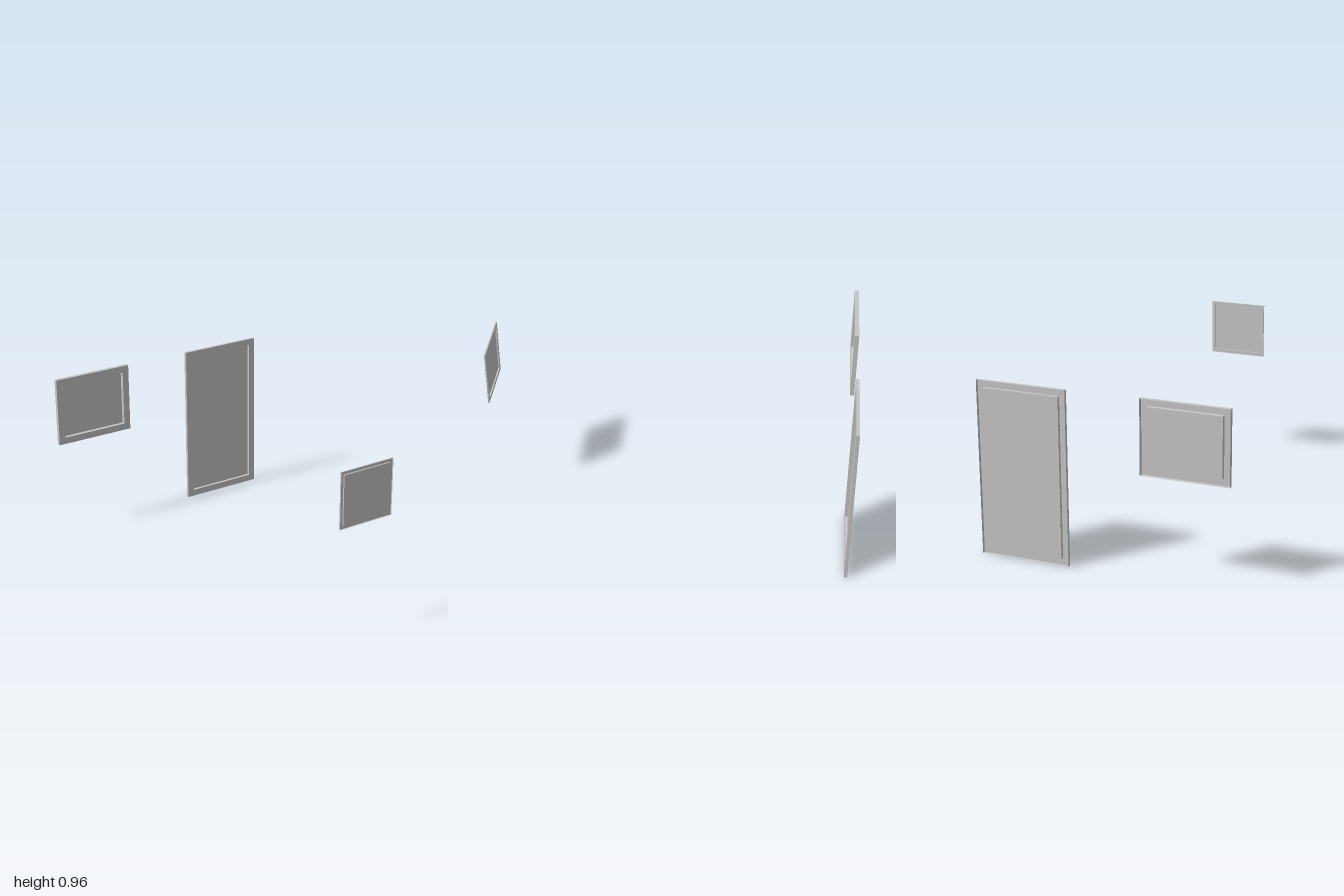
import * as THREE from 'three';

const grey = new THREE.MeshStandardMaterial({ color: 0xc6c6c6, side: THREE.DoubleSide });
grey.name = 'lightGrey';

// Corners of a rectangle, counter-clockwise, at depth z
const ring = (w, h, z) => [[-1, -1], [1, -1], [1, 1], [-1, 1]].map(([a, b]) => [a * w / 2, b * h / 2, z]);

// Bands of flat quads joining consecutive rings
function bands(rings) {
  const pos = [];
  for (let r = 0; r < rings.length - 1; r++) {
    for (let i = 0; i < 4; i++) {
      const j = (i + 1) % 4;
      const a = rings[r][i], b = rings[r][j], c = rings[r + 1][j], d = rings[r + 1][i];
      pos.push(...a, ...b, ...c, ...a, ...c, ...d);
    }
  }
  const g = new THREE.BufferGeometry();
  g.setAttribute('position', new THREE.Float32BufferAttribute(pos, 3));
  g.computeVertexNormals();
  return g;
}

// Pressed sheet: folded outer lip, flat border, recess walls and a sunken panel
function framedPanel(name, x0, x1, y0, y1, border, depth) {
  const w = x1 - x0, h = y1 - y0, iw = w - 2 * border, ih = h - 2 * border;
  const group = new THREE.Group();
  group.name = name;

  const frame = new THREE.Mesh(bands([
    ring(w, h, 0), ring(w, h, depth), ring(iw, ih, depth), ring(iw, ih, 0),
  ]), grey);
  frame.name = name + 'Frame';

  const panel = new THREE.Mesh(new THREE.PlaneGeometry(iw, ih), grey);
  panel.name = name + 'Panel';

  group.add(frame, panel);
  group.position.set((x0 + x1) / 2, (y0 + y1) / 2, 0);
  return group;
}

export function createModel() {
  const model = new THREE.Group();
  model.name = 'framedPanels';

  // Two panels on the back plane, recessed towards the front
  const wide = framedPanel('widePanel', -0.688, -0.215, 0.555, 0.953, 0.039, 0.023);
  const tall = framedPanel('tallPanel', 0.188, 0.686, 0, 0.948, 0.039, 0.018);
  wide.position.z = tall.position.z = -1;

  // Small panel on the front plane, recessed towards the back
  const small = framedPanel('smallPanel', -0.165, 0.164, 0.643, 0.958, 0.0195, 0.008);
  small.position.z = 1;
  small.rotation.y = Math.PI;

  model.add(wide, tall, small);
  return model;
}
